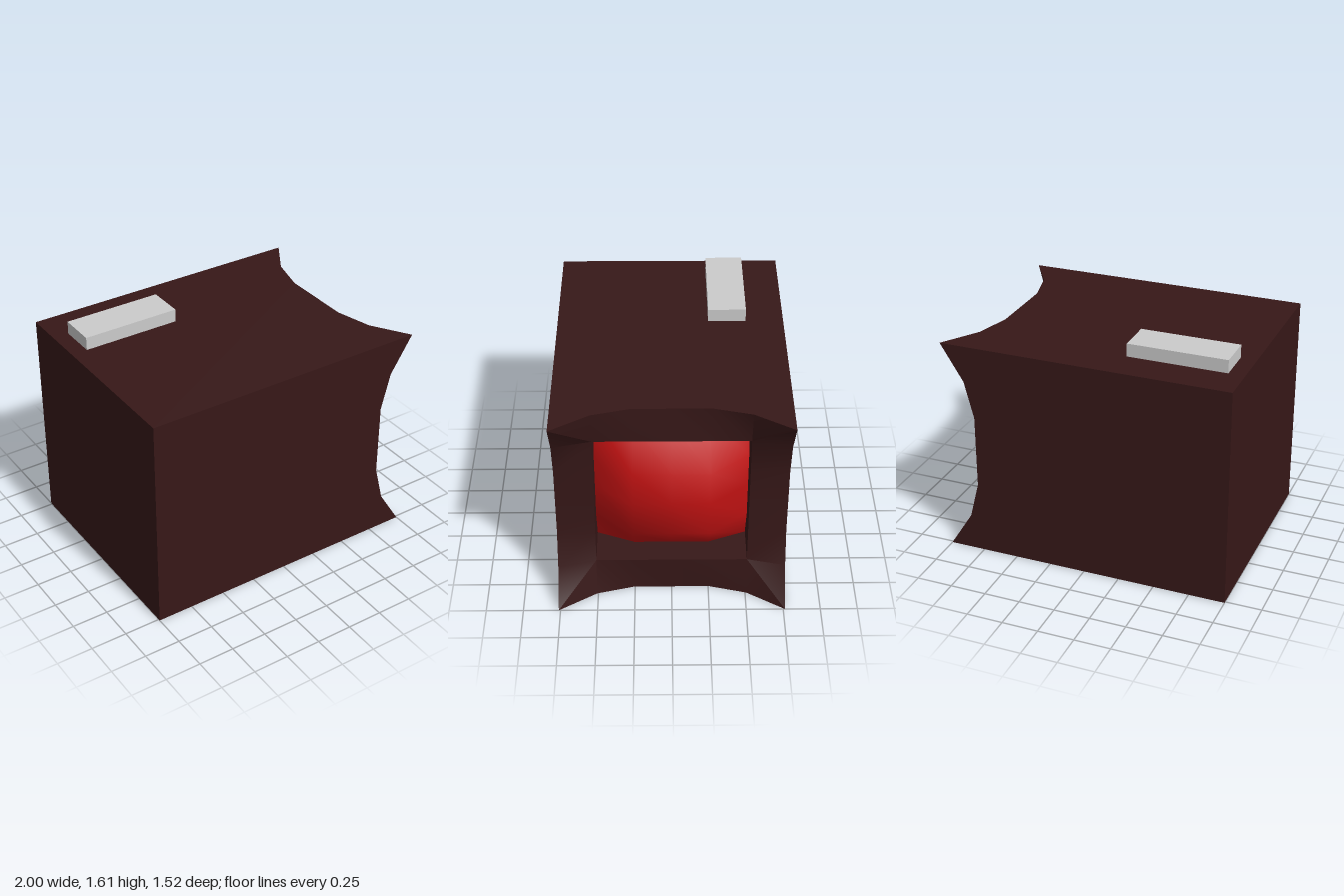
import * as THREE from 'three';

const H = 0.762;      // half width of the casing
const S = 0.508;      // half width of the screen opening
const OPEN_X = 0.78;  // plane of the opening
const DEPTH_X = 0.46; // back of the recess

// Scooped outline of the front rim: [position along the side, x]
const RIM = [[-H, 1], [-S, 0.84], [-0.254, 0.775], [0, 0.775], [0.254, 0.775], [S, 0.84], [H, 1]];

const casingMat = new THREE.MeshStandardMaterial({ color: 0x371818, side: THREE.DoubleSide });
const screenMat = new THREE.MeshStandardMaterial({ color: 0xc01212, side: THREE.DoubleSide });
const greyMat = new THREE.MeshStandardMaterial({ color: 0xcccccc });

function mesh(name, geometry, material) {
  const m = new THREE.Mesh(geometry, material);
  m.name = name;
  return m;
}

// Smooth surface through rows of points
function loft(rows) {
  const n = rows[0].length;
  const index = [];
  for (let r = 0; r < rows.length - 1; r++) {
    for (let i = 0; i < n - 1; i++) {
      const a = r * n + i, c = a + n;
      index.push(a, a + 1, c, a + 1, c + 1, c);
    }
  }
  const g = new THREE.BufferGeometry();
  g.setAttribute('position', new THREE.Float32BufferAttribute(rows.flat(2), 3));
  g.setIndex(index);
  g.computeVertexNormals();
  return g;
}

// One of four identical sides: outer panel, bezel strip and recess wall
function casingSide() {
  const side = new THREE.Group();
  side.name = 'casingSide';

  const outline = new THREE.Shape([
    new THREE.Vector2(-1, -H),
    ...RIM.map(([t, x]) => new THREE.Vector2(x, t)),
    new THREE.Vector2(-1, H),
  ]);
  const panel = new THREE.ShapeGeometry(outline).rotateX(-Math.PI / 2).translate(0, H, 0);
  side.add(mesh('outerPanel', panel, casingMat));

  const outer = RIM.map(([t, x]) => [x, H, t]);
  const inner = RIM.map(([t]) => [OPEN_X, S, THREE.MathUtils.clamp(t, -S, S)]);
  side.add(mesh('bezel', loft([outer, inner]), casingMat));

  const wall = [OPEN_X, DEPTH_X].map((x) => [-S, S].map((z) => [x, S, z]));
  side.add(mesh('recessWall', loft(wall), casingMat));
  return side;
}

export function createModel() {
  const model = new THREE.Group();
  model.name = 'monitor';

  // Casing
  const casing = new THREE.Group();
  casing.name = 'casing';
  casing.position.y = H;
  for (let k = 0; k < 4; k++) {
    const side = casingSide();
    side.rotation.x = k * Math.PI / 2;
    casing.add(side);
  }
  const back = new THREE.PlaneGeometry(2 * H, 2 * H).rotateY(-Math.PI / 2).translate(-1, 0, 0);
  casing.add(mesh('backPanel', back, casingMat));

  // Bulging screen: flat centre, edges and corners falling back
  const steps = [-S, -S / 2, 0, S / 2, S];
  const bulge = (y, z) => [0.8, 0.6, 0.5][(Math.abs(y) === S) + (Math.abs(z) === S)];
  const rows = steps.map((v) => steps.map((z) => [bulge(v, z), -v, z]));
  casing.add(mesh('screen', loft(rows), screenMat));
  model.add(casing);

  // Slab on the top
  const slab = mesh('topSlab', new THREE.BoxGeometry(0.68, 0.09, 0.254), greyMat);
  slab.position.set(-0.55, 2 * H + 0.045, -0.381);
  model.add(slab);

  return model;
}
